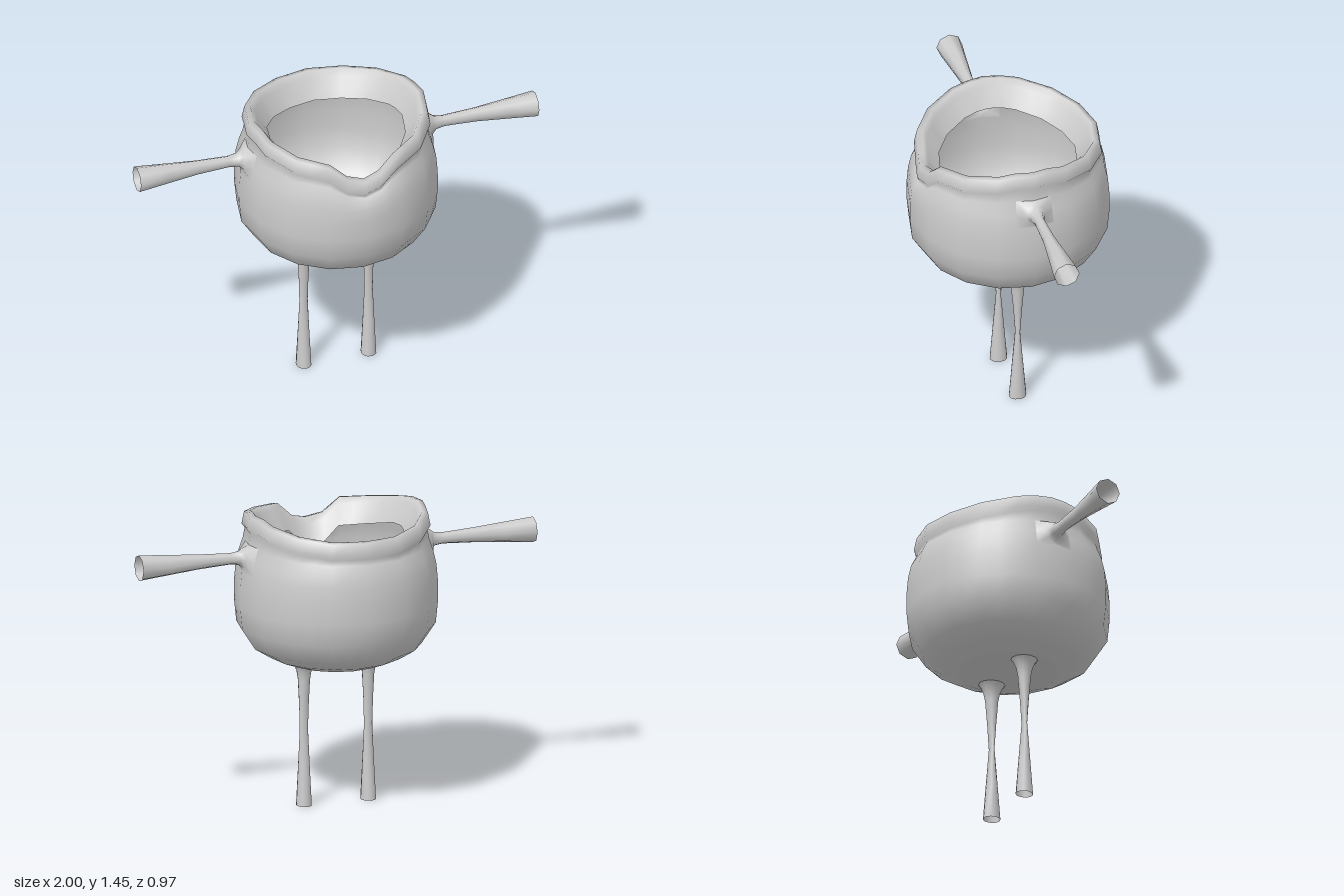
import * as THREE from 'three';

const COLS = 32;   // 16 straight sides, each split once
const ARM_RING = 7; // wall ring at arm height

// Pot profile from base up, over the rim and down inside:
// [radius, height, share of rim wave, share of spout dip]
const PROFILE = [
  [0.24, 0.705, 0, 0], [0.33, 0.74, 0, 0], [0.41, 0.79, 0, 0],
  [0.475, 0.89, 0, 0], [0.486, 1.0, 0, 0], [0.485, 1.1, 0, 0],
  [0.478, 1.18, 0, 0.3], [0.463, 1.245, 0, 0.6], [0.444, 1.28, 0.5, 0.8],
  [0.435, 1.305, 1, 1], [0.45, 1.325, 1, 1], [0.438, 1.385, 1, 1],
  [0.41, 1.39, 1, 1], [0.39, 1.36, 1, 1], [0.355, 1.31, 1, 1], [0.33, 1.27, 1, 1],
];

// Point on the 16-sided outline; odd columns are side midpoints
function outline(r, col) {
  const at = (c) => {
    const t = (c / COLS) * Math.PI * 2;
    return new THREE.Vector2(Math.sin(t) * r, Math.cos(t) * r);
  };
  return col % 2 ? at(col - 1).lerp(at(col + 1), 0.5) : at(col);
}

function potPoint(ring, col) {
  const [r, y, wave, dip] = PROFILE[ring];
  const p = outline(r, col);
  // rim rises towards the arms, and dips at the front for the spout
  const z = Math.abs(outline(0.437, col).y);
  const rise = 0.06 * (1 - Math.max(0, Math.min(1, (z - 0.08) / 0.33)));
  const fromFront = Math.min(col, COLS - col);
  const drop = [0.09, 0.07][fromFront] ?? 0;
  return [p.x, y + rise * wave - drop * dip, p.y];
}

// Skin a list of closed loops of equal size; skip(i, j) leaves out a cell
function loft(loops, skip = () => false) {
  const n = loops[0].length;
  const index = [];
  for (let i = 0; i < loops.length - 1; i++) {
    for (let j = 0; j < n; j++) {
      if (skip(i, j)) continue;
      const k = (j + 1) % n;
      const a = i * n + j, b = i * n + k, c = b + n, d = a + n;
      index.push(a, b, c, a, c, d);
    }
  }
  const geo = new THREE.BufferGeometry();
  geo.setAttribute('position', new THREE.Float32BufferAttribute(loops.flat(2), 3));
  geo.setIndex(index);
  geo.computeVertexNormals();
  return geo;
}

function loop(sides, point) {
  return Array.from({ length: sides }, (_, k) => {
    const t = (k / sides) * Math.PI * 2;
    return point(Math.cos(t), Math.sin(t));
  });
}

export function createModel() {
  const model = new THREE.Group();
  const material = new THREE.MeshStandardMaterial({ color: 0xcccccc, side: THREE.DoubleSide });
  const add = (name, geo) => {
    const mesh = new THREE.Mesh(geo, material);
    mesh.name = name;
    model.add(mesh);
    return mesh;
  };

  // Pot wall with rim and spout, open where the arms join
  const rings = PROFILE.map((_, i) =>
    Array.from({ length: COLS }, (_, j) => potPoint(i, j)));
  const armOpening = (i, j) =>
    (i === ARM_RING - 1 || i === ARM_RING) && [7, 8, 23, 24].includes(j);
  add('pot', loft(rings, armOpening));

  // Base plate with two leg openings
  const base = new THREE.Shape(Array.from({ length: COLS }, (_, j) => outline(0.24, j)));
  for (const s of [-1, 1]) {
    base.holes.push(new THREE.Path(loop(12, (c, n) =>
      new THREE.Vector2(s * 0.163 + n * 0.06, c * 0.065))));
  }
  add('potBase', new THREE.ShapeGeometry(base).rotateX(Math.PI / 2).translate(0, 0.705, 0));

  // Hollow arms growing out of the wall openings: [x, centre y, half height, half depth]
  const colStep = [-1, -1, 0, 1, 1, 1, 0, -1];
  const ringStep = [0, -1, -1, -1, 0, 1, 1, 1];
  const root = colStep.map((c, k) => potPoint(ARM_RING + ringStep[k], 8 + c));
  const armLoops = [
    [0.475, 1.248, 0.05, 0.052], [0.495, 1.25, 0.034, 0.035], [0.54, 1.25, 0.028, 0.026],
    [0.7, 1.25, 0.037, 0.03], [0.85, 1.249, 0.05, 0.046], [1, 1.248, 0.063, 0.063],
  ].map(([x, y, h, d]) => loop(8, (c, s) => [x, y - s * h, c * d]));
  const armGeo = loft([root, ...armLoops]);
  add('leftArm', armGeo);
  add('rightArm', armGeo).scale.x = -1;

  // Hollow legs, pinched in the middle: [y, half width, half depth]
  const legLoops = [
    [0, 0.037, 0.043], [0.18, 0.029, 0.028], [0.37, 0.021, 0.011], [0.5, 0.024, 0.021],
    [0.62, 0.029, 0.032], [0.66, 0.035, 0.041], [0.69, 0.047, 0.054], [0.705, 0.06, 0.065],
  ].map(([y, w, d]) => loop(12, (c, s) => [0.163 + s * w, y, c * d]));
  const legGeo = loft(legLoops);
  add('leftLeg', legGeo);
  add('rightLeg', legGeo).scale.x = -1;

  return model;
}
